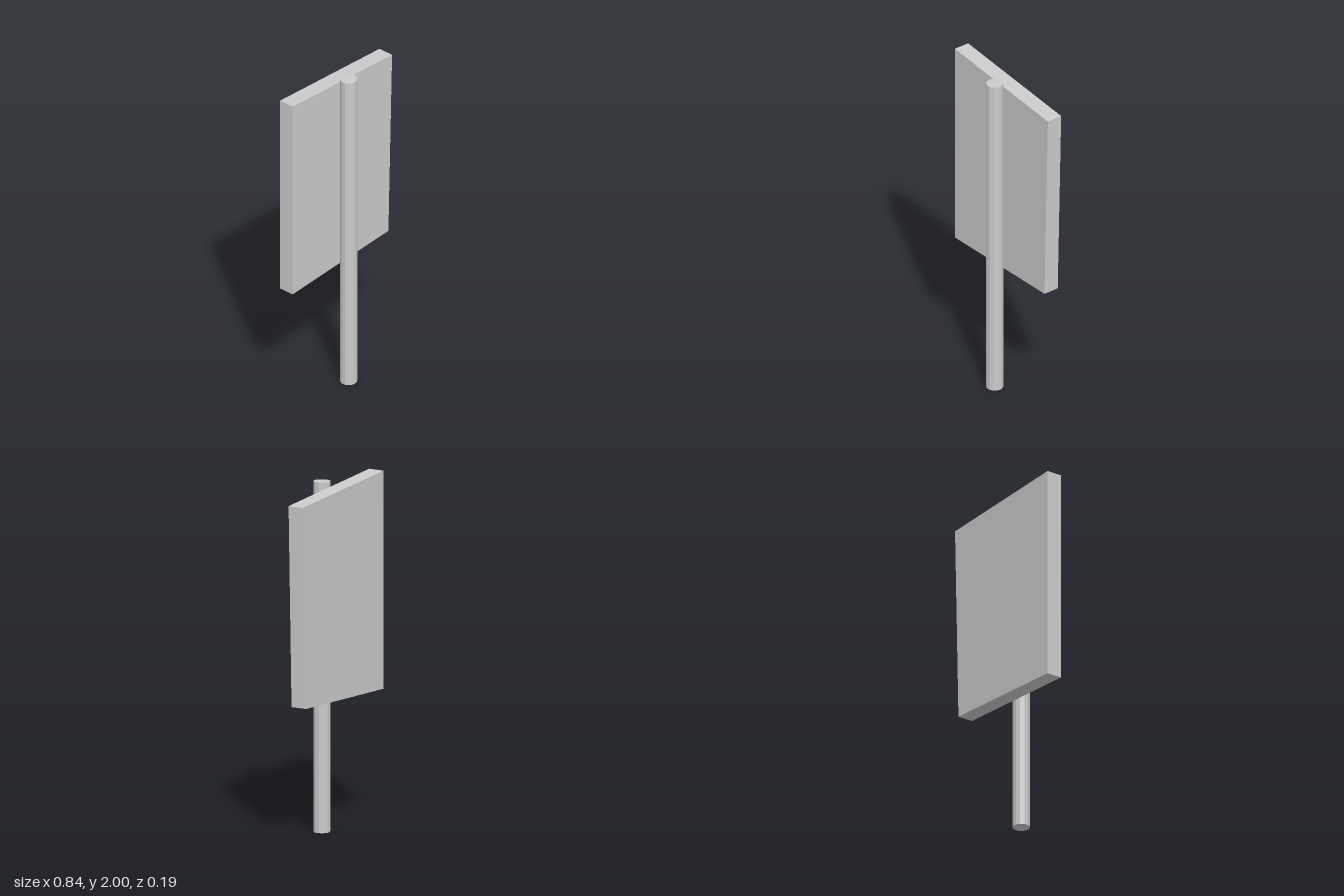
import * as THREE from 'three';

export function createModel() {
  const group = new THREE.Group();
  const material = new THREE.MeshStandardMaterial({ color: 0xcccccc, flatShading: true });
  const depth = 0.094; // shared by the board thickness and the post width

  // Twelve-sided post, turned so that a flat side meets the board
  const sides = 12;
  const radius = depth / 2 / Math.cos(Math.PI / sides);
  const postGeometry = new THREE.CylinderGeometry(radius, radius, 2, sides);
  postGeometry.rotateY(Math.PI / sides);
  const post = new THREE.Mesh(postGeometry, material);
  post.name = 'post';
  post.position.set(0, 1, depth / 2);
  group.add(post);

  // Slightly crooked four-cornered board behind the post
  const outline = new THREE.Shape([
    new THREE.Vector2(-0.421, 0.755),
    new THREE.Vector2(0.39, 0.785),
    new THREE.Vector2(0.421, 1.938),
    new THREE.Vector2(-0.421, 2),
  ]);
  const boardGeometry = new THREE.ExtrudeGeometry(outline, { depth, bevelEnabled: false });
  const board = new THREE.Mesh(boardGeometry, material);
  board.name = 'signBoard';
  board.position.z = -depth;
  group.add(board);

  return group;
}
